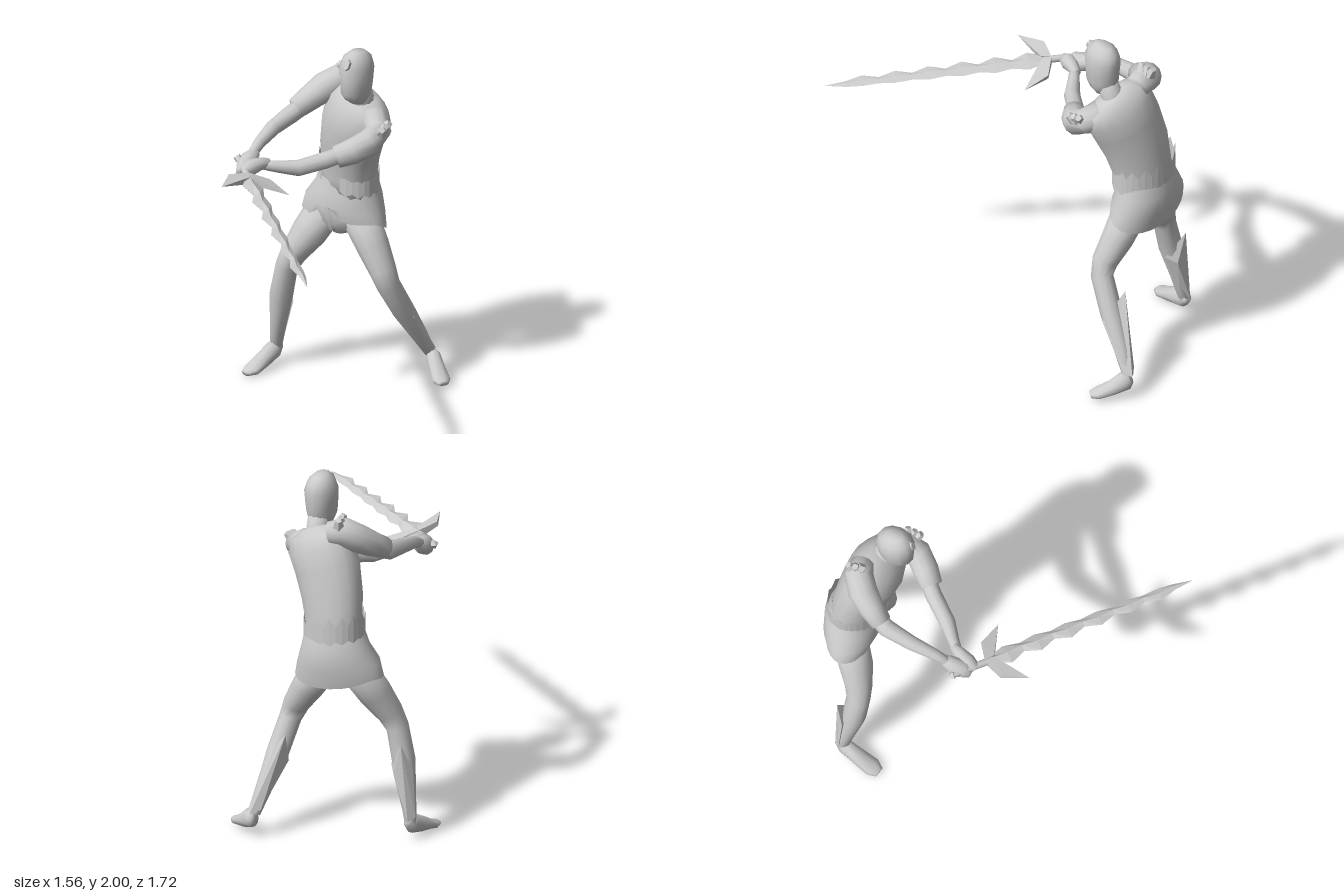
import * as THREE from 'three';
import { ConvexGeometry } from 'three/addons/geometries/ConvexGeometry.js';

const V = (x, y, z) => new THREE.Vector3(x, y, z);
const smooth = new THREE.MeshStandardMaterial({ color: 0xcccccc });
const faceted = new THREE.MeshStandardMaterial({ color: 0xcccccc, flatShading: true });
const thin = new THREE.MeshStandardMaterial({ color: 0xcccccc, side: THREE.DoubleSide });
const thinFaceted = new THREE.MeshStandardMaterial({ color: 0xcccccc, side: THREE.DoubleSide, flatShading: true });

// Skin over elliptical rings [x, y, z, halfWidth, halfDepth]; depth runs along ref
function loft(rings, ref, n = 12, capped = true) {
  const pos = [], idx = [], c = rings.map(r => V(r[0], r[1], r[2])), last = rings.length - 1;
  rings.forEach(([, , , ru, rv = ru], i) => {
    const t = c[Math.min(i + 1, last)].clone().sub(c[Math.max(i - 1, 0)]).normalize();
    const u = ref.clone().cross(t).normalize(), v = t.clone().cross(u);
    for (let k = 0; k < n; k++) {
      const a = k / n * Math.PI * 2;
      pos.push(...c[i].clone().addScaledVector(u, ru * Math.cos(a)).addScaledVector(v, rv * Math.sin(a)));
    }
  });
  for (let i = 0; i < last; i++) for (let k = 0; k < n; k++) {
    const a = i * n + k, b = i * n + (k + 1) % n;
    idx.push(a, b, b + n, a, b + n, a + n);
  }
  if (capped) {
    const s = pos.length / 3;
    pos.push(...c[0], ...c[last]);
    for (let k = 0; k < n; k++) {
      const m = (k + 1) % n;
      idx.push(s, m, k, s + 1, last * n + k, last * n + m);
    }
  }
  const g = new THREE.BufferGeometry();
  g.setAttribute('position', new THREE.Float32BufferAttribute(pos, 3));
  g.setIndex(idx);
  g.computeVertexNormals();
  return g;
}

export function createModel() {
  const model = new THREE.Group();
  const add = (name, geo, mat = smooth, parent = model) => {
    const m = new THREE.Mesh(geo, mat);
    m.name = name;
    parent.add(m);
    return m;
  };
  const fwd = V(0, 0, 1), up = V(0, 1, 0), hipFwd = V(0.3, 0, 1).normalize(), faceFwd = V(0.2, 0, 1).normalize();

  // Head, neck and forehead ornament
  add('head', loft([[-.19, 1.7, -.39, .045, .04], [-.19, 1.735, -.388, .066, .075], [-.19, 1.775, -.38, .077, .1], [-.19, 1.84, -.382, .084, .102],
    [-.19, 1.91, -.385, .087, .108], [-.19, 1.965, -.39, .068, .09], [-.19, 1.995, -.395, .035, .05]], faceFwd));
  add('neck', loft([[-.23, 1.62, -.46, .08, .08], [-.21, 1.7, -.44, .06, .065], [-.195, 1.78, -.41, .055, .06]], fwd));
  const gem = add('foreheadOrnament', new THREE.CylinderGeometry(.022, .028, .04, 6), faceted);
  gem.position.set(-.165, 1.945, -.303);
  gem.rotation.set(1.15, 0, -.15);
  gem.scale.set(.7, 1, 1.4);

  // Torso, leaning to the left
  add('torso', loft([[-.39, 1.06, -.5, .165, .125], [-.37, 1.2, -.495, .165, .13], [-.34, 1.36, -.475, .185, .14],
    [-.29, 1.51, -.455, .2, .15], [-.24, 1.62, -.46, .205, .135], [-.215, 1.68, -.465, .175, .095], [-.2, 1.71, -.46, .08, .06]], fwd, 16));

  // Zigzag belt, open at the front
  const bp = [], bi = [], steps = 26;
  for (let k = 0; k <= steps; k++) {
    const a = Math.PI / 2 + .4 + k / steps * (Math.PI * 2 - .8), cx = Math.cos(a), sz = Math.sin(a), zig = k % 2 ? .03 : -.02;
    for (const [y, r] of [[1.145 - zig * .4, .178], [1.26 + zig, .178]])
      bp.push(-.375 + cx * r, y - cx * .03, -.5 + sz * (r - .032));
    if (k < steps) bi.push(2 * k, 2 * k + 1, 2 * k + 3, 2 * k, 2 * k + 3, 2 * k + 2);
  }
  const belt = new THREE.BufferGeometry();
  belt.setAttribute('position', new THREE.Float32BufferAttribute(bp, 3));
  belt.setIndex(bi);
  belt.computeVertexNormals();
  add('belt', belt, thinFaceted);

  // Flared skirt: hem drops toward the back and rises to an opening at the front
  const skirt = loft([[-.4, .94, -.488, .25, .137], [-.4, 1.01, -.495, .232, .155], [-.39, 1.1, -.51, .19, .15],
    [-.38, 1.19, -.5, .163, .128]], hipFwd, 28, false);
  const sp = skirt.attributes.position;
  for (let i = 0; i < 28; i++) {
    const x = sp.getX(i), z = sp.getZ(i);
    sp.setY(i, .95 + Math.min(0, (z + .5) * .5) + (z > -.45 ? Math.max(0, .1 - Math.abs(x + .4)) : 0));
  }
  skirt.computeVertexNormals();
  add('skirt', skirt, thin);
  add('pelvis', loft([[-.4, .85, -.45, .035, .04], [-.4, .9, -.46, .14, .09], [-.4, .97, -.48, .2, .12], [-.39, 1.08, -.5, .17, .125]], hipFwd));
  add('loincloth', loft([[-.4, .88, -.41, .03, .025], [-.405, .96, -.385, .045, .025], [-.4, 1.06, -.375, .035, .02]], fwd, 8));

  // Legs: thigh to ankle, foot, pointed greave behind the calf
  const legs = {
    right: {
      leg: [[-.745, .1, -.31, .033, .033], [-.715, .25, -.3, .045, .046], [-.675, .44, -.285, .065, .064], [-.635, .62, -.288, .06, .066],
        [-.605, .7, -.31, .072, .074], [-.55, .82, -.37, .098, .09], [-.5, .96, -.45, .105, .095]],
      foot: [[-.745, .115, -.34, .022, .028], [-.743, .095, -.295, .042, .055], [-.736, .06, -.205, .047, .042], [-.73, .03, -.12, .052, .024], [-.73, .025, -.075, .03, .014]],
      greave: [[-.72, .56, -.365], [-.755, .41, -.305], [-.618, .41, -.32], [-.67, .38, -.365], [-.755, .12, -.35], [-.778, .14, -.31], [-.71, .13, -.325]]
    },
    left: {
      leg: [[-.085, .14, -.815, .03, .03], [-.09, .26, -.745, .042, .045], [-.092, .43, -.635, .06, .06], [-.097, .61, -.53, .058, .066],
        [-.125, .69, -.515, .07, .075], [-.205, .81, -.515, .088, .09], [-.29, .95, -.505, .1, .1]],
      foot: [[-.085, .13, -.84, .022, .03], [-.065, .115, -.82, .042, .055], [.0, .075, -.79, .047, .04], [.07, .045, -.755, .05, .024], [.105, .04, -.74, .03, .014]],
      greave: [[-.165, .56, -.655], [-.168, .41, -.63], [-.025, .41, -.65], [-.1, .38, -.72], [-.085, .15, -.858], [-.125, .17, -.81], [-.05, .17, -.82]]
    }
  };
  for (const [side, p] of Object.entries(legs)) {
    add(side + 'Leg', loft(p.leg, fwd));
    add(side + 'Foot', loft(p.foot, up, 10));
    add(side + 'Greave', new ConvexGeometry(p.greave.map(q => V(...q))), faceted);
  }

  // Arms: short sleeve, forearm, fist, shoulder studs
  const arms = {
    right: {
      sleeve: [[-.34, 1.725, -.49, .065], [-.405, 1.745, -.465, .078], [-.455, 1.695, -.4, .08], [-.487, 1.64, -.31, .068], [-.505, 1.6, -.235, .058]],
      arm: [[-.495, 1.61, -.28, .05], [-.507, 1.575, -.2, .05], [-.485, 1.55, -.05, .042], [-.45, 1.515, .08, .032], [-.43, 1.48, .15, .026]],
      fist: [[-.435, 1.485, .12, .026], [-.425, 1.46, .17, .048], [-.4, 1.435, .23, .05, .055], [-.385, 1.42, .275, .03]],
      stud: [-.405, 1.81, -.485, .25]
    },
    left: {
      sleeve: [[-.14, 1.6, -.45, .08], [-.06, 1.565, -.42, .07], [-.05, 1.52, -.345, .073], [-.09, 1.48, -.26, .07], [-.135, 1.455, -.185, .06]],
      arm: [[-.12, 1.47, -.23, .045], [-.17, 1.44, -.14, .046], [-.235, 1.415, 0, .044], [-.3, 1.43, .09, .032], [-.34, 1.445, .15, .026]],
      fist: [[-.335, 1.45, .12, .026], [-.345, 1.455, .17, .035], [-.355, 1.45, .23, .045], [-.355, 1.44, .285, .028]],
      stud: [-.005, 1.595, -.41, -.7]
    }
  };
  for (const [side, p] of Object.entries(arms)) {
    add(side + 'Sleeve', loft(p.sleeve, up));
    add(side + 'Forearm', loft(p.arm, up, 10));
    add(side + 'Fist', loft(p.fist, up, 10));
    const [x, y, z, tilt] = p.stud, studs = new THREE.Group();
    studs.name = side + 'ShoulderStuds';
    studs.position.set(x, y, z);
    studs.rotation.z = tilt;
    for (let i = -1; i <= 1; i++) {
      const s = add('stud', new THREE.CylinderGeometry(.018, .034, .05, 5), faceted, studs);
      s.position.set(i * .012, 0, i * .028);
      s.rotation.x = i * .4;
    }
    model.add(studs);
  }

  // Sword: local x runs along the blade, local y across it; the edges bulge and narrow
  const sword = new THREE.Group();
  sword.name = 'sword';
  const u = V(1.04, -.11, .54).normalize(), w0 = V(-.17, .1, .34);
  const v = w0.addScaledVector(u, -w0.dot(u)).normalize();
  sword.setRotationFromMatrix(new THREE.Matrix4().makeBasis(u, v, u.clone().cross(v)));
  sword.position.set(-.27, 1.44, .32);
  const blade = [[0, 0, 0, .018, .022]];
  for (let i = 0; i < 12; i++)
    blade.push([.095 + i * .089, i % 2 ? -.005 : .005, 0, .02 - i * .001, i % 2 ? .031 - i * .001 : .06 - i * .0023]);
  blade.push([1.183, 0, 0, .001, .001]);
  add('blade', loft(blade, up, 4), faceted, sword);
  const handle = add('handle', new THREE.CylinderGeometry(.017, .02, .24, 8), smooth, sword);
  handle.rotation.z = Math.PI / 2;
  handle.position.x = -.11;
  add('pommel', new THREE.OctahedronGeometry(.028), faceted, sword).position.x = -.225;
  for (const s of [1, -1])
    add('guardProng', new ConvexGeometry([V(-.03, 0, .022), V(-.03, 0, -.022), V(.025, .01 * s, .022), V(.025, .01 * s, -.022),
      V(0, .12 * s, .012), V(0, .12 * s, -.012), V(.135, .195 * s, 0)]), faceted, sword);
  model.add(sword);
  return model;
}
